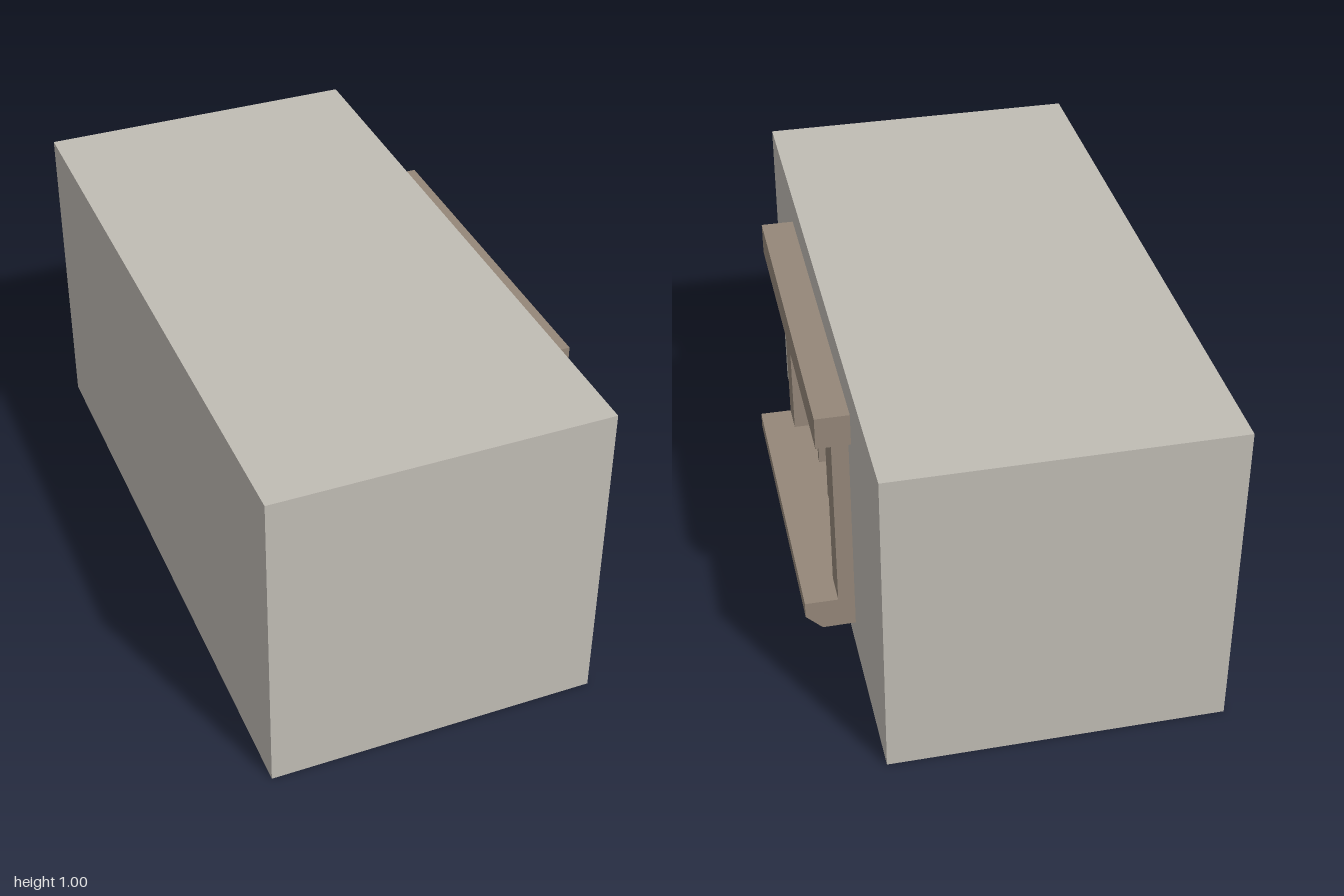
import * as THREE from 'three';

const stone = new THREE.MeshStandardMaterial({ color: 0xc0bcb4 });
stone.name = 'stone';
const wood = new THREE.MeshStandardMaterial({ color: 0x958779 });
wood.name = 'wood';

const BACK = -0.575, WALL = 0.425, RECESS = 0.40;

function add(group, name, geometry, material) {
  const mesh = new THREE.Mesh(geometry, material);
  mesh.name = name;
  group.add(mesh);
  return mesh;
}

// Box given by its limits on each axis
function box(x0, x1, y0, y1, z0, z1) {
  return new THREE.BoxGeometry(x1 - x0, y1 - y0, z1 - z0)
    .translate((x0 + x1) / 2, (y0 + y1) / 2, (z0 + z1) / 2);
}

function rectPoints(half, y0, y1) {
  return [[-half, y0], [half, y0], [half, y1], [-half, y1]]
    .map(([a, b]) => new THREE.Vector2(a, b));
}

// Flat shape turned to face +x at the given depth
function facingX(shape, x) {
  return new THREE.ShapeGeometry(shape).rotateY(Math.PI / 2).translate(x, 0, 0);
}

export function createModel() {
  const model = new THREE.Group();
  model.name = 'wallWithWindow';

  // Wall block without its +x face
  const block = new THREE.Group();
  block.name = 'wallBlock';
  model.add(block);
  const sides = box(BACK, WALL, 0, 1, -1, 1);
  sides.setIndex(Array.from(sides.index.array).slice(6));
  sides.clearGroups();
  add(block, 'wallSides', sides, stone);

  // Window face with an opening, and the surface behind it
  const face = new THREE.Shape(rectPoints(1, 0, 1));
  face.holes.push(new THREE.Path(rectPoints(0.4, 0.2, 0.8).reverse()));
  add(block, 'windowWall', facingX(face, WALL), stone);
  add(block, 'recessBack', facingX(new THREE.Shape(rectPoints(0.4, 0.2, 0.8)), RECESS), stone);

  // Window frame
  const frame = new THREE.Group();
  frame.name = 'window';
  model.add(frame);
  add(frame, 'lintel', box(RECESS, 0.525, 0.8, 0.9, -0.55, 0.55), wood);
  add(frame, 'frontJamb', box(RECESS, 0.475, 0.2, 0.8, 0.4, 0.5), wood);
  add(frame, 'backJamb', box(RECESS, 0.475, 0.2, 0.8, -0.5, -0.4), wood);

  // Sill with a chamfered lower edge
  const sill = new THREE.Shape(
    [[RECESS, 0.1], [0.525, 0.1], [0.575, 0.15], [0.575, 0.2], [RECESS, 0.2]]
      .map(([x, y]) => new THREE.Vector2(x, y)));
  add(frame, 'sill', new THREE.ExtrudeGeometry(sill, { depth: 1, bevelEnabled: false })
    .translate(0, 0, -0.5), wood);

  // Glazing bars
  const h = 0.0125;
  for (const z of [-0.2, 0, 0.2]) {
    add(frame, 'verticalBar', box(RECESS, WALL, 0.2, 0.8, z - h, z + h), wood);
  }
  add(frame, 'horizontalBar', box(RECESS, WALL, 0.5 - h, 0.5 + h, -0.4, 0.4), wood);

  return model;
}
